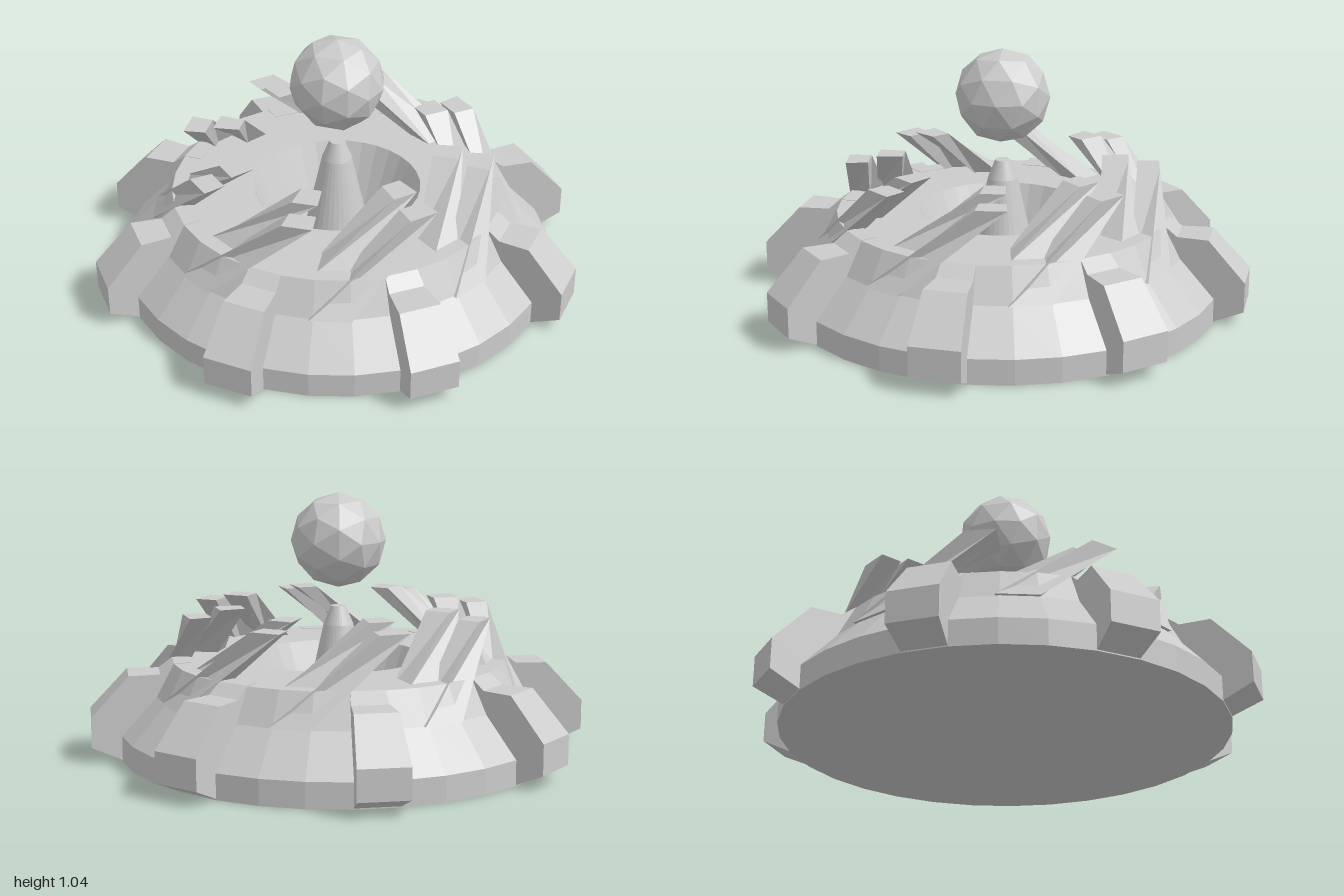
import * as THREE from 'three';

const material = new THREE.MeshStandardMaterial({ color: 0xcccccc, flatShading: true, side: THREE.DoubleSide });
const SEG = 32;
const STEP = (Math.PI * 2) / SEG;
const deg = THREE.MathUtils.degToRad;

// point at radius r, angle a (0 = back, growing towards the model's left), height y
const polar = (r, a, y) => [r * Math.sin(a), y, -r * Math.cos(a)];

// closed solid between two matching rings of points, each counter-clockwise seen from ring b
function loft(a, b) {
  const pos = [];
  const tri = (...pts) => pts.forEach((p) => pos.push(...p));
  const n = a.length;
  for (let i = 0; i < n; i++) {
    const j = (i + 1) % n;
    tri(a[i], a[j], b[j]);
    tri(a[i], b[j], b[i]);
    if (i > 0 && i < n - 1) {
      tri(b[0], b[i], b[i + 1]);
      tri(a[0], a[i + 1], a[i]);
    }
  }
  const geo = new THREE.BufferGeometry();
  geo.setAttribute('position', new THREE.Float32BufferAttribute(pos, 3));
  geo.computeVertexNormals();
  return geo;
}

// four corners of a ring sector, angles in degrees
function sector(ri, ro, a0, a1, y) {
  const s = deg(a0), e = deg(a1);
  return [polar(ro, e, y), polar(ro, s, y), polar(ri, s, y), polar(ri, e, y)];
}

function lathe(points, segments) {
  return new THREE.LatheGeometry(points.map(([r, y]) => new THREE.Vector2(r, y)), segments);
}

export function createModel() {
  const model = new THREE.Group();
  const add = (name, geometry, parent = model) => {
    const mesh = new THREE.Mesh(geometry, material);
    mesh.name = name;
    parent.add(mesh);
    return mesh;
  };

  // round plinth with a bowl sunk into its top
  add('base', lathe([
    [0, 0], [0.88, 0], [0.88, 0.1], [0.74, 0.25], [0.67, 0.38],
    [0.34, 0.38], [0.22, 0.1], [0, 0.1],
  ], SEG));

  // tapered spout in the bowl
  add('spout', lathe([[0.16, 0.05], [0.06, 0.51], [0.03, 0.585], [0, 0.585]], SEG));

  // floating ball
  add('ball', new THREE.IcosahedronGeometry(0.19, 1)).position.y = 0.85;

  // one wedge-shaped buttress, one base segment wide
  const profile = [
    [0.6, 0], [0.87, 0], [1, 0.06], [1, 0.18],
    [0.85, 0.34], [0.725, 0.34], [0.67, 0.382], [0.6, 0.382],
  ];
  const buttressGeo = loft(
    profile.map(([r, y]) => polar(r, 0, y)),
    profile.map(([r, y]) => polar(r, STEP, y)),
  );

  // slanted struts leaning around the bowl
  const outerStrutGeo = loft(sector(0.66, 0.755, 22.5, 35, 0.25), sector(0.54, 0.63, -10, 1, 0.575));
  const innerStrutGeo = loft(sector(0.51, 0.63, 24, 36, 0.36), sector(0.4, 0.505, -10, 1.5, 0.6));

  for (let i = 0; i < 8; i++) {
    const bay = new THREE.Group();
    bay.name = 'bay';
    bay.rotation.y = (i * Math.PI) / 4;
    add('buttress', buttressGeo, bay);
    add('outerStrut', outerStrutGeo, bay);
    add('innerStrut', innerStrutGeo, bay);
    model.add(bay);
  }
  return model;
}
